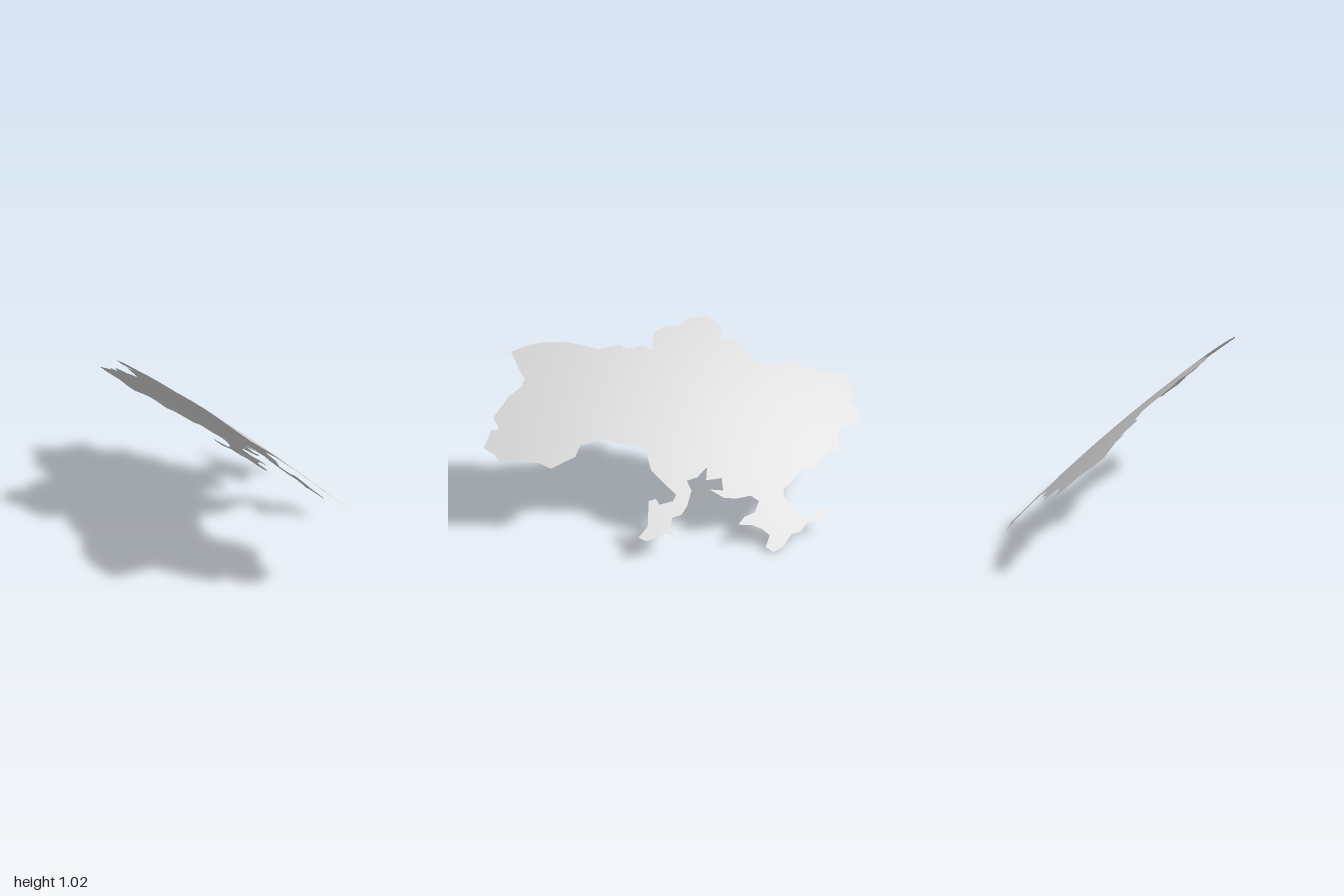
import * as THREE from 'three';

// Gently domed, tilted sheet: height over the ground plane
const lean = (x, z) => 0.46 * z - 0.74 * x;
const height = (x, z) =>
  0.665 - 0.74 * x + 0.452 * z - 0.07 * (x * x + z * z + lean(x, z) ** 2);

// Upward surface normal from the slope of the height rule
function normalAt(x, z) {
  const dx = -0.74 - 0.14 * (x - 0.74 * lean(x, z));
  const dz = 0.452 - 0.14 * (z + 0.46 * lean(x, z));
  return new THREE.Vector3(-dx, 1, -dz).normalize();
}

// Splits every triangle into four
function subdivide(tris) {
  const out = [];
  for (const [a, b, c] of tris) {
    const ab = a.clone().lerp(b, 0.5), bc = b.clone().lerp(c, 0.5), ca = c.clone().lerp(a, 0.5);
    out.push([a, ab, ca], [ab, b, bc], [ca, bc, c], [ab, bc, ca]);
  }
  return out;
}

// Fills a ground outline of x, z pairs and lifts it onto the dome
function sheet(name, outline, material) {
  const pts = [];
  for (let i = 0; i < outline.length; i += 2) pts.push(new THREE.Vector2(outline[i], -outline[i + 1]));
  const flat = new THREE.ShapeGeometry(new THREE.Shape(pts)).toNonIndexed().attributes.position;
  let tris = [];
  for (let i = 0; i < flat.count; i += 3) {
    tris.push([0, 1, 2].map((k) => new THREE.Vector2(flat.getX(i + k), -flat.getY(i + k))));
  }
  for (let level = 0; level < 4; level++) tris = subdivide(tris);

  const position = [], normal = [];
  for (const p of tris.flat()) {
    position.push(p.x, height(p.x, p.y), p.y);
    normal.push(...normalAt(p.x, p.y).toArray());
  }
  const geometry = new THREE.BufferGeometry();
  geometry.setAttribute('position', new THREE.Float32BufferAttribute(position, 3));
  geometry.setAttribute('normal', new THREE.Float32BufferAttribute(normal, 3));
  const mesh = new THREE.Mesh(geometry, material);
  mesh.name = name;
  return mesh;
}

// Main land with its ragged edge
const mainland = [
  -0.46, -1, -0.37, -0.9, -0.31, -0.89, -0.25, -0.91, -0.2, -0.85, -0.07, -0.78,
  -0.03, -0.71, 0.03, -0.69, 0.11, -0.64, 0.14, -0.65,
  0.23, -0.52, 0.23, -0.47, 0.28, -0.4, 0.31, -0.33, 0.31, -0.25, 0.28, -0.32,
  0.23, -0.3, 0.28, -0.22, 0.22, -0.21, 0.29, -0.17, 0.33, -0.12, 0.36, -0.155,
  0.415, -0.08, 0.4, -0.02, 0.37, 0.08, 0.31, 0.12, 0.3, 0.17, 0.33, 0.29,
  0.34, 0.36, 0.42, 0.48, 0.48, 0.49, 0.58, 0.6, 0.58, 0.67, 0.62, 0.81,
  0.655, 0.87, 0.63, 0.91, 0.62, 0.98, 0.53, 0.97, 0.51, 0.93, 0.47, 0.98,
  0.35, 0.935, 0.27, 0.88, 0.23, 0.88, 0.2, 0.92, 0.125, 1, 0.055, 0.92,
  0.01, 0.84, -0.04, 0.72, -0.06, 0.62, -0.075, 0.53, -0.15, 0.42, -0.145, 0.37,
  -0.2, 0.3, -0.205, 0.23, -0.25, 0.25, -0.31, 0.25, -0.37, 0.2, -0.415, 0.12,
  -0.475, 0.09, -0.55, -0.02, -0.52, -0.125, -0.45, -0.11, -0.49, -0.19, -0.43, -0.37,
  -0.5, -0.49, -0.57, -0.54, -0.56, -0.65, -0.6, -0.66, -0.6, -0.72, -0.68, -0.87,
  -0.64, -0.91, -0.55, -0.925, -0.51, -0.98,
];

// Hooked cape at the back
const hookedCape = [
  0.14, -0.65, 0.16, -0.69, 0.17, -0.74, 0.16, -0.79, 0.13, -0.825, 0.07, -0.87,
  0.08, -0.89, 0.125, -0.89, 0.16, -0.84, 0.18, -0.8, 0.245, -0.77, 0.28, -0.725,
  0.36, -0.69, 0.405, -0.645, 0.405, -0.6, 0.345, -0.61, 0.34, -0.565, 0.35, -0.51,
  0.385, -0.435, 0.335, -0.46, 0.29, -0.51, 0.23, -0.52,
];

// Narrow cape on the left side
const narrowCape = [
  0.36, -0.155, 0.435, -0.15, 0.485, -0.13, 0.52, -0.085, 0.57, -0.09, 0.59, -0.115,
  0.595, -0.07, 0.63, -0.035, 0.67, 0.02, 0.675, 0.065, 0.61, 0.03, 0.505, 0.055,
  0.48, 0.02, 0.495, -0.005, 0.45, -0.07, 0.415, -0.08,
];

export function createModel() {
  const group = new THREE.Group();
  group.name = 'landSheet';
  const material = new THREE.MeshStandardMaterial({ color: 0xcccccc, side: THREE.DoubleSide });
  group.add(
    sheet('mainland', mainland, material),
    sheet('hookedCape', hookedCape, material),
    sheet('narrowCape', narrowCape, material),
  );
  return group;
}
